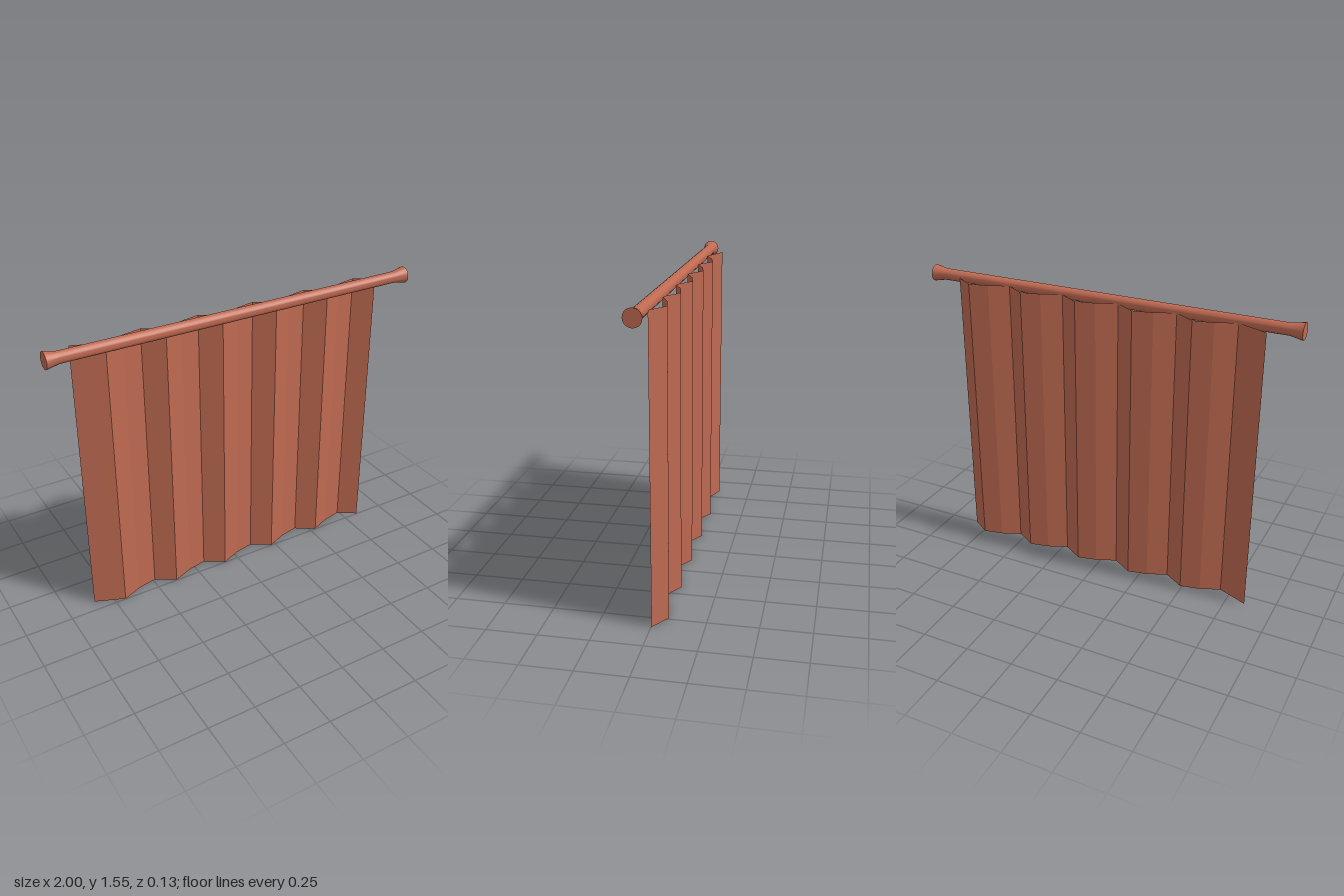
import * as THREE from 'three';
import { toCreasedNormals } from 'three/addons/utils/BufferGeometryUtils.js';

const HEIGHT = 1.503;

// Sheet with asymmetric pleats: sharp ridges in front, two shallower folds behind
function curtainGeometry() {
  const profile = [[-0.848, -0.066]];
  const pitch = 0.307, first = -0.695;
  for (let i = 0; i < 5; i++) {
    const x = first + i * pitch;
    profile.push([x, -0.003], [x + 0.103, -0.046], [x + 0.205, -0.067]);
  }
  profile.push([0.835, -0.003]);

  const positions = [], index = [];
  profile.forEach(([x, z], i) => {
    positions.push(x, 0, z, x, HEIGHT, z);
    if (i > 0) {
      const a = 2 * (i - 1);
      index.push(a, a + 2, a + 3, a, a + 3, a + 1);
    }
  });
  const geometry = new THREE.BufferGeometry();
  geometry.setAttribute('position', new THREE.Float32BufferAttribute(positions, 3));
  geometry.setIndex(index);
  const flat = geometry.toNonIndexed();
  flat.computeVertexNormals();
  return flat;
}

// Round rod with flared, capped ends, turned to lie along x
function rodGeometry() {
  const points = [[0, -1], [0.043, -1], [0.03, -0.935], [0.03, 0.935], [0.043, 1], [0, 1]]
    .map(([r, y]) => new THREE.Vector2(r, y));
  const geometry = new THREE.LatheGeometry(points, 20);
  geometry.rotateZ(-Math.PI / 2);
  return toCreasedNormals(geometry, 0.5);
}

export function createModel() {
  const group = new THREE.Group();
  group.name = 'curtainOnRod';

  const curtain = new THREE.Mesh(
    curtainGeometry(),
    new THREE.MeshStandardMaterial({ color: 0xc06a52, side: THREE.DoubleSide, flatShading: true })
  );
  curtain.name = 'curtain';

  const rod = new THREE.Mesh(rodGeometry(), new THREE.MeshStandardMaterial({ color: 0xc06a52 }));
  rod.name = 'curtainRod';
  rod.position.set(0, HEIGHT, 0.024);

  group.add(curtain, rod);
  return group;
}
